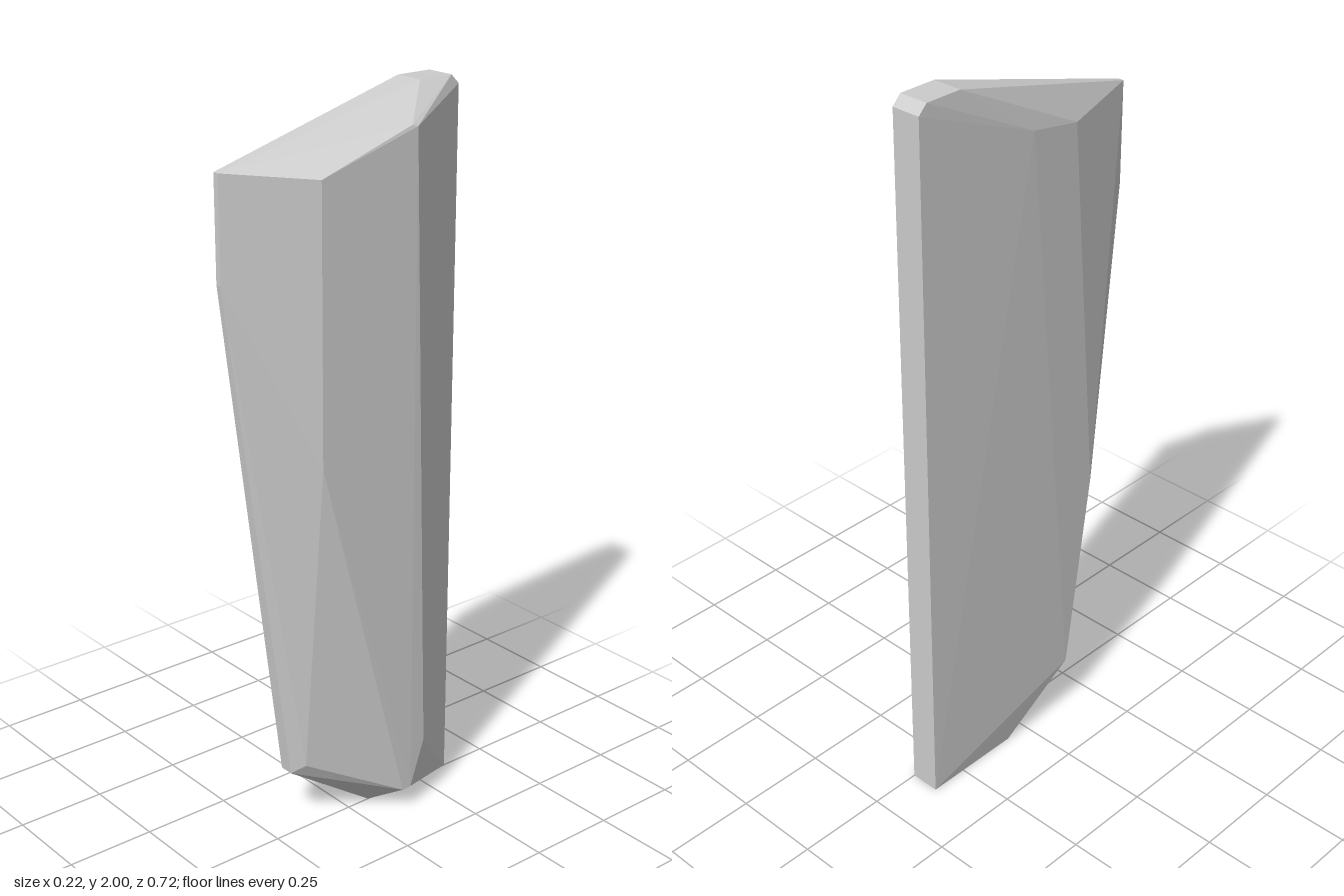
import * as THREE from 'three';
import { ConvexGeometry } from 'three/addons/geometries/ConvexGeometry.js';

// A tall, faceted stone shard: the convex hull of a few carved corners.
export function createModel() {
  const group = new THREE.Group();
  group.name = 'stoneShard';
  const corners = [];
  const add = (x, y, z) => corners.push(new THREE.Vector3(x, y, z));

  // Flat spine: back strip, chamfered top ledge and base
  for (const x of [-0.083, 0]) {
    add(x, 0, -0.358);
    add(x, 0, -0.07);
    add(x, 1.975, -0.358);
    add(x, 2, -0.333);
    add(x, 2, -0.228);
  }

  // Narrow front edge, overhanging at the top and tapering to the foot
  for (const x of [-0.065, -0.048]) {
    add(x, 1.845, 0.358);
    add(x, 1.57, 0.358);
  }
  add(-0.075, 0.16, 0.175);
  add(-0.035, 0.16, 0.175);
  add(0, 0.19, 0.15);

  // Bulging +x side
  add(0.078, 1.82, 0.147);
  add(0.078, 1.08, 0.147);
  add(0.103, 1.92, -0.115);
  add(0.107, 1.915, -0.13);
  add(0.107, 0.2, -0.18);
  add(0.103, 0.062, -0.11);
  add(0.106, 0.066, -0.135);

  // Flatter -x side
  add(-0.108, 1.84, -0.01);
  add(-0.108, 1.815, 0.14);
  add(-0.108, 0.75, 0.225);
  add(-0.108, 0.175, 0.14);

  const material = new THREE.MeshStandardMaterial({ color: 0xcccccc, flatShading: true });
  const shard = new THREE.Mesh(new ConvexGeometry(corners), material);
  shard.name = 'shard';
  group.add(shard);
  return group;
}
